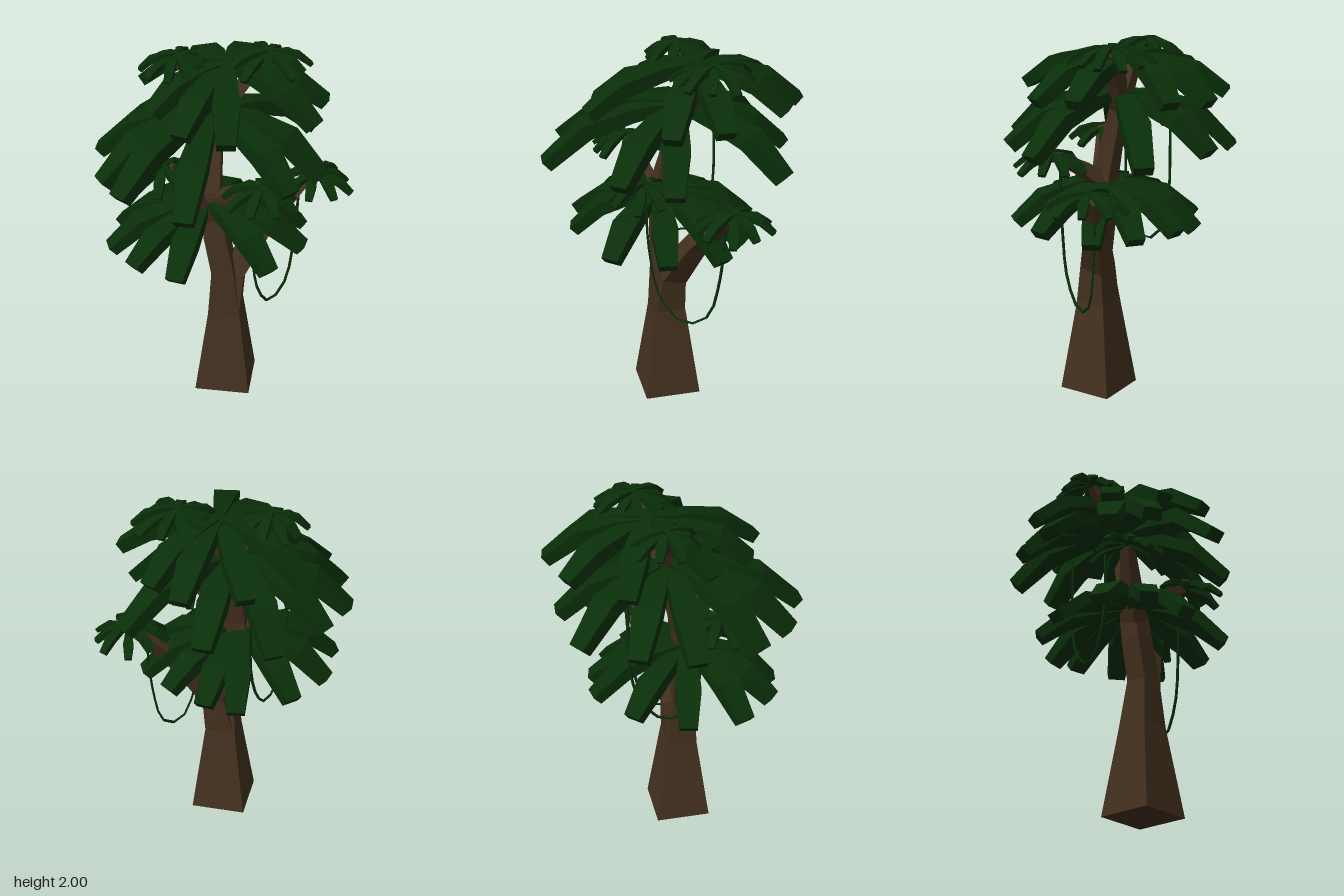
import * as THREE from 'three';

const bark = new THREE.MeshStandardMaterial({ color: 0x44311f, flatShading: true });
const leaf = new THREE.MeshStandardMaterial({ color: 0x0a2f09, flatShading: true });

// Skin a list of four-cornered rings (counterclockwise about the path) and cap both ends
function loft(rings) {
  const index = [];
  for (let i = 0; i < rings.length - 1; i++) {
    for (let j = 0; j < 4; j++) {
      const a = i * 4 + j, b = i * 4 + (j + 1) % 4;
      index.push(a, b, b + 4, a, b + 4, a + 4);
    }
  }
  const e = (rings.length - 1) * 4;
  index.push(0, 2, 1, 0, 3, 2, e, e + 1, e + 2, e, e + 2, e + 3);
  const g = new THREE.BufferGeometry();
  g.setAttribute('position', new THREE.Float32BufferAttribute(rings.flat(2), 3));
  g.setIndex(index);
  g.computeVertexNormals();
  return g;
}

// Four-sided limb through points [x, y, z, radius]; levelStart gives a flat foot
function limb(name, pts, levelStart = false) {
  const P = pts.map(p => new THREE.Vector3(p[0], p[1], p[2]));
  const rings = P.map((p, i) => {
    const t = P[Math.min(i + 1, P.length - 1)].clone().sub(P[Math.max(i - 1, 0)]).normalize();
    if (i === 0 && levelStart) t.set(0, 1, 0);
    const u = new THREE.Vector3(1, 0, 0).addScaledVector(t, -t.x).normalize();
    const v = t.clone().cross(u);
    return [[u, 1], [v, 1], [u, -1], [v, -1]].map(([d, s]) =>
      p.clone().addScaledVector(d, s * pts[i][3]).toArray());
  });
  const m = new THREE.Mesh(loft(rings), bark);
  m.name = name;
  return m;
}

// Arching frond running out along +x: stations of reach, drop, width, thickness
const stations = [
  [0, 0, 0.3, 0.5],
  [0.35, 0.04, 0.75, 0.9],
  [0.7, 0.29, 1, 1],
  [1, 1, 0.68, 0.8],
];
function frond(length, drop, width, thick) {
  const rings = stations.map(([s, d, w, h], i) => {
    const a = stations[Math.max(i - 1, 0)], b = stations[Math.min(i + 1, 3)];
    const n = new THREE.Vector2((b[1] - a[1]) * drop, (b[0] - a[0]) * length).normalize();
    const x = s * length, y = -d * drop, hw = w * width / 2, t = h * thick;
    const top = [x, y], low = [x - n.x * t, y - n.y * t];
    return [[low, -1], [top, -1], [top, 1], [low, 1]].map(([q, k]) => [q[0], q[1], k * hw]);
  });
  return loft(rings);
}

// A crown of fronds reaching to the given [x, z] tips
function crown(name, [cx, cy, cz], tips, drop, width, thick) {
  const g = new THREE.Group();
  g.name = name;
  g.position.set(cx, cy, cz);
  tips.forEach(([x, z], i) => {
    const dx = x - cx, dz = z - cz;
    const m = new THREE.Mesh(frond(Math.hypot(dx, dz), drop * (1 + 0.1 * Math.sin(i * 2.3)), width, thick), leaf);
    m.name = 'frond';
    m.rotation.y = -Math.atan2(dz, dx);
    m.position.y = -0.01 * (i % 3);
    g.add(m);
  });
  return g;
}

// Evenly spread tips with slightly varied reach
function spread([cx, , cz], count, radius, start) {
  return Array.from({ length: count }, (_, i) => {
    const a = start + i * Math.PI * 2 / count, r = radius * (1 - 0.12 * (i % 3 === 1));
    return [cx + r * Math.cos(a), cz + r * Math.sin(a)];
  });
}

// Thin hanging vine
function vine(pts) {
  const curve = new THREE.CatmullRomCurve3(pts.map(p => new THREE.Vector3(...p)));
  const m = new THREE.Mesh(new THREE.TubeGeometry(curve, 18, 0.008, 4), leaf);
  m.name = 'vine';
  return m;
}

export function createModel() {
  const tree = new THREE.Group();
  tree.name = 'jungleTree';

  // Trunk and branches
  tree.add(
    limb('trunk', [[0.12, 0, 0, 0.22], [0.12, 0.5, 0, 0.127], [0.125, 0.77, 0.02, 0.088],
      [0.09, 1.0, 0.05, 0.085], [0.06, 1.25, 0.06, 0.075], [0, 1.65, -0.02, 0.05]], true),
    limb('backBranch', [[0.12, 0.5, 0, 0.12], [0.13, 0.74, -0.045, 0.095],
      [0.18, 1.0, -0.23, 0.07], [0.24, 1.24, -0.46, 0.045]], true),
    limb('frontBranch', [[0.07, 1.1, 0.08, 0.075], [0.05, 1.25, 0.17, 0.065], [0.02, 1.45, 0.31, 0.04]]),
    limb('leftBranch', [[0.07, 1.18, 0.05, 0.06], [0.2, 1.28, 0.02, 0.05], [0.36, 1.37, -0.03, 0.035]]),
    limb('topBackBranch', [[0, 1.6, -0.01, 0.05], [0.04, 1.78, -0.12, 0.055], [0.1, 1.96, -0.27, 0.04]]),
    limb('topFrontBranch', [[0, 1.6, -0.02, 0.05], [-0.07, 1.8, 0.03, 0.045], [-0.17, 1.95, 0.11, 0.03]]),
  );

  // Large crowns
  tree.add(
    crown('lowerCrown', [0.06, 1.21, 0.09], [
      [0.59, 0.06], [0.33, 0.5], [0.11, 0.62], [-0.15, 0.6], [-0.38, 0.38], [-0.47, 0.08],
      [-0.39, -0.24], [-0.25, -0.36], [0, -0.44], [0.25, -0.45], [0.5, -0.25],
    ], 0.2, 0.14, 0.075),
    crown('middleCrown', [0, 1.72, 0], [
      [0.13, 0.7], [0.49, 0.55], [0.63, -0.03], [0.55, -0.32], [0.02, -0.68],
      [-0.4, -0.45], [-0.62, -0.15], [-0.58, 0.2], [-0.43, 0.47], [-0.11, 0.66],
    ], 0.26, 0.15, 0.085),
    crown('upperCrown', [-0.02, 1.95, -0.1], [
      [0.47, 0.27], [0.52, -0.28], [0.35, -0.5], [-0.14, -0.6], [-0.36, -0.55],
      [-0.54, -0.27], [-0.52, 0.1], [-0.08, 0.36], [0.23, 0.39],
    ], 0.19, 0.14, 0.08),
  );

  // Small tufts at the branch ends: name, centre, fronds, reach, start angle
  [
    ['frontTuft', [0.01, 1.47, 0.33], 9, 0.21, 0.1],
    ['leftTuft', [0.38, 1.4, -0.03], 9, 0.21, 0.3],
    ['backTuft', [0.27, 1.295, -0.5], 9, 0.22, 0.2],
    ['topBackTuft', [0.1, 2.0, -0.28], 11, 0.24, 0.1],
    ['topFrontTuft', [-0.18, 1.985, 0.11], 10, 0.2, 0.25],
  ].forEach(([name, c, n, r, a]) => tree.add(crown(name, c, spread(c, n, r, a), 0.08, 0.055, 0.03)));

  // Vines
  tree.add(
    vine([[-0.1, 1.46, 0.29], [-0.105, 1.05, 0.26], [-0.14, 0.88, 0.19], [-0.18, 0.83, 0.1],
      [-0.24, 0.92, 0], [-0.265, 1.1, -0.06], [-0.27, 1.55, -0.07]]),
    vine([[0.33, 1.36, 0], [0.325, 0.95, -0.02], [0.31, 0.68, -0.08], [0.27, 0.54, -0.2],
      [0.24, 0.6, -0.33], [0.225, 0.85, -0.4], [0.22, 1.24, -0.43]]),
  );
  return tree;
}
